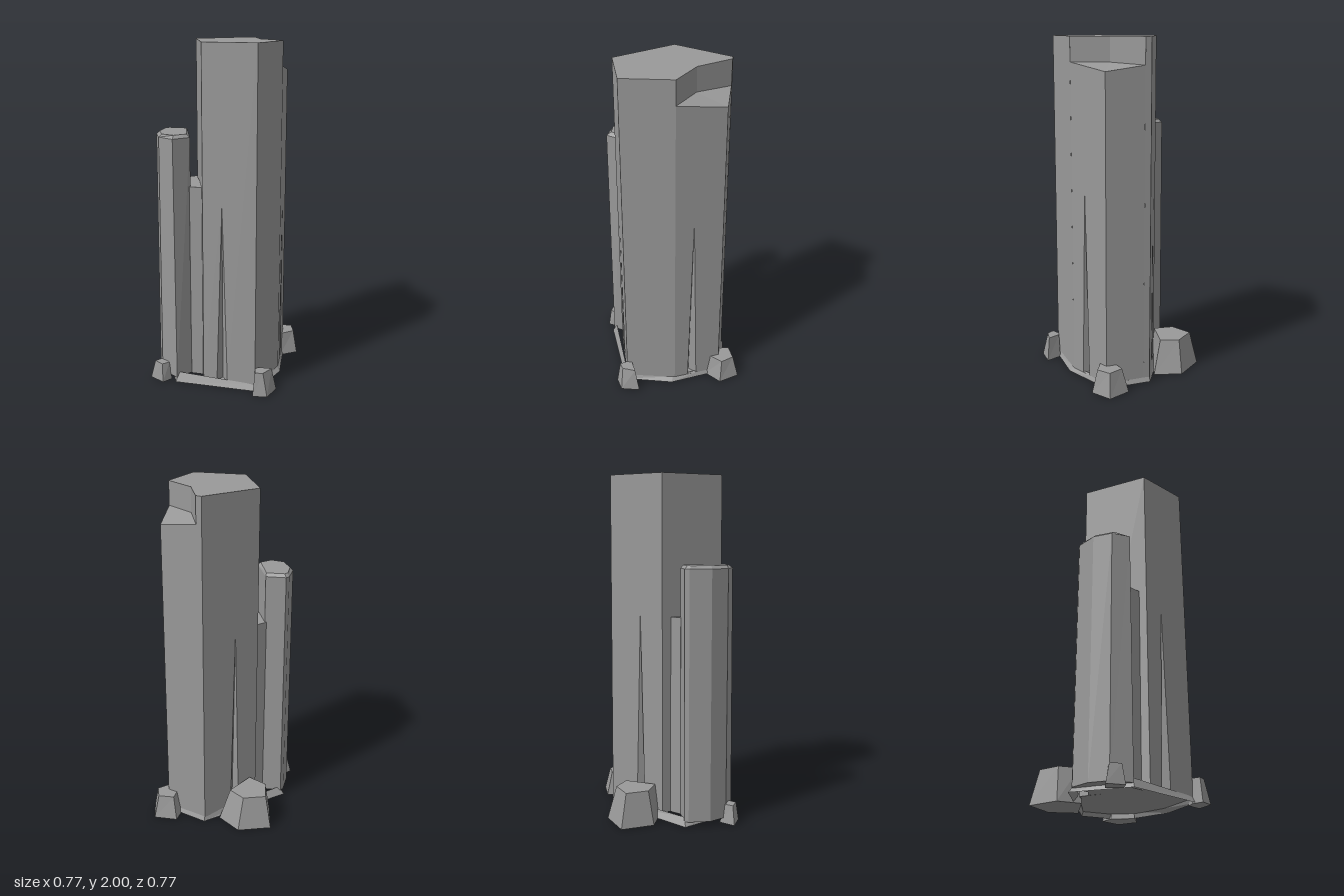
import * as THREE from 'three';

const stone = new THREE.MeshStandardMaterial({ color: 0x999999, flatShading: true, side: THREE.DoubleSide });
stone.name = 'grey stone';

// Mesh from flat polygons, each counter-clockwise seen from outside
function facetMesh(name, polygons) {
  const pos = [];
  for (const p of polygons)
    for (let i = 1; i < p.length - 1; i++) pos.push(...p[0], ...p[i], ...p[i + 1]);
  const geo = new THREE.BufferGeometry();
  geo.setAttribute('position', new THREE.Float32BufferAttribute(pos, 3));
  geo.computeVertexNormals();
  const mesh = new THREE.Mesh(geo, stone);
  mesh.name = name;
  return mesh;
}

const at = (outline, y) => outline.map(([x, z]) => [x, y, z]);
const lerp = (a, b, t) => a.map((v, i) => v + (b[i] - v) * t);

// Rings run clockwise seen from above, from bottom to top
function loft(name, rings, capped = true) {
  const faces = [];
  for (let r = 0; r < rings.length - 1; r++) {
    const lo = rings[r], hi = rings[r + 1], n = lo.length;
    for (let i = 0; i < n; i++) {
      const j = (i + 1) % n;
      faces.push([lo[j], lo[i], hi[i], hi[j]]);
    }
  }
  if (capped) faces.push(rings[0], [...rings[rings.length - 1]].reverse());
  return facetMesh(name, faces);
}

// Wall between two bottom and two top corners, with an optional tapering crack
function wall(lowR, lowL, topL, topR, crack) {
  if (!crack) return [[lowL, lowR, topR, topL]];
  const { t, width, height, depth } = crack;
  const span = Math.hypot(lowR[0] - lowL[0], lowR[2] - lowL[2]);
  const h = width / span / 2;
  const gR = lerp(lowR, lowL, t - h), gL = lerp(lowR, lowL, t + h);
  const mid = lerp(gR, gL, 0.5);
  const k = 1 - depth / Math.hypot(mid[0], mid[2]);
  const inner = [mid[0] * k, mid[1], mid[2] * k];
  const f = height / ((topL[1] + topR[1]) / 2);
  const apex = lerp(mid, lerp(topR, topL, t), f);
  return [
    [lowL, gL, apex, topL], [gR, lowR, topR, apex], [topL, apex, topR],
    [gL, inner, apex], [inner, gR, apex],
  ];
}

// Tall main column with a chipped back corner
function mainColumn() {
  const outline = [[0.033, -0.338], [0.067, -0.327], [0.285, -0.263], [0.327, 0.018],
    [0.264, 0.304], [-0.05, 0.304], [-0.215, -0.06]];
  const low = outline.map(([x, z]) => [x * 1.015, 0.03, z * 1.02]);
  const [A, N1, , N2, D, E, F] = at(outline, 2);
  const chip1 = [N1[0], 1.85, N1[2]], chip2 = [N2[0], 1.86, N2[2]];
  const corner = [0.285, 1.82, -0.263];
  const I = [0.155, 2, -0.12], chipI = [0.155, 1.86, -0.12];
  return facetMesh('mainColumn', [
    ...wall(low[0], low[1], N1, A),
    ...wall(low[1], low[2], corner, chip1),
    ...wall(low[2], low[3], chip2, corner, { t: 0.61, width: 0.055, height: 1.14, depth: 0.05 }),
    ...wall(low[3], low[4], D, N2),
    ...wall(low[4], low[5], E, D, { t: 0.635, width: 0.065, height: 1.1, depth: 0.05 }),
    ...wall(low[5], low[6], F, E),
    ...wall(low[6], low[0], A, F, { t: 0.42, width: 0.06, height: 1.2, depth: 0.05 }),
    // chip walls and sloping floor
    ...wall(chip1, chipI, I, N1), ...wall(chipI, chip2, N2, I),
    [chipI, corner, chip1], [chipI, chip2, corner],
    // top and underside
    [I, N1, A, F, E, D, N2], low,
  ]);
}

// Shorter side column with a bevelled top
function sideColumn() {
  const foot = [[-0.362, 0.052], [-0.235, 0.042], [-0.14, 0.256], [-0.205, 0.352],
    [-0.32, 0.3], [-0.376, 0.2], [-0.376, 0.075]];
  const shoulder = [[-0.352, 0.05], [-0.235, 0.042], [-0.14, 0.256], [-0.21, 0.343],
    [-0.31, 0.3], [-0.366, 0.2], [-0.366, 0.075]];
  const crown = [[-0.34, 0.066], [-0.235, 0.057], [-0.16, 0.255], [-0.214, 0.315],
    [-0.292, 0.297], [-0.348, 0.198], [-0.354, 0.088]];
  return loft('sideColumn', [at(foot, 0.03), at(shoulder, 1.475), at(crown, 1.493)]);
}

// Boulder tapering from its foot to a flat top
const boulder = (name, foot, top, height) => loft(name, [at(foot, 0), at(top, height)]);

export function createModel() {
  const model = new THREE.Group();
  model.name = 'rockPillar';
  model.add(mainColumn(), sideColumn());

  // Narrow slab filling the gap between the columns
  const slab = [[-0.245, 0.042], [-0.2, -0.01], [-0.06, 0.265], [-0.142, 0.27]];
  model.add(loft('gapSlab', [at(slab, 0.03), at(slab, 1.195)]));

  // Sloping skirt around the foot
  const skirtLow = [[0.035, -0.356], [0.295, -0.278], [0.35, 0.04], [0.275, 0.325], [-0.21, 0.362], [-0.387, 0.055]];
  const skirtTop = [[0.035, -0.335], [0.28, -0.258], [0.328, 0.03], [0.262, 0.308], [-0.197, 0.335], [-0.345, 0.055]];
  const skirtHeight = [0.05, 0.05, 0.03, 0.04, 0.06, 0.05];
  model.add(loft('baseSkirt', [at(skirtLow, 0.005), skirtTop.map(([x, z], i) => [x, skirtHeight[i], z])], false));

  // Boulders around the base
  model.add(
    boulder('backLargeBoulder',
      [[-0.37, -0.31], [-0.185, -0.383], [-0.045, -0.29], [-0.19, -0.078], [-0.325, -0.12]],
      [[-0.33, -0.28], [-0.203, -0.33], [-0.107, -0.268], [-0.19, -0.102], [-0.3, -0.15]], 0.2),
    boulder('backSmallBoulder',
      [[0.207, -0.375], [0.345, -0.386], [0.386, -0.262], [0.295, -0.185], [0.2, -0.29]],
      [[0.233, -0.343], [0.325, -0.353], [0.357, -0.275], [0.297, -0.215], [0.23, -0.285]], 0.14),
    boulder('frontBoulder',
      [[0.285, 0.258], [0.382, 0.249], [0.355, 0.358], [0.272, 0.376], [0.262, 0.31]],
      [[0.28, 0.28], [0.357, 0.27], [0.325, 0.343], [0.28, 0.355], [0.267, 0.31]], 0.14),
    boulder('frontSmallBoulder',
      [[-0.38, 0.34], [-0.32, 0.265], [-0.25, 0.325], [-0.285, 0.383]],
      [[-0.352, 0.335], [-0.318, 0.288], [-0.264, 0.328], [-0.295, 0.365]], 0.11),
  );
  return model;
}
